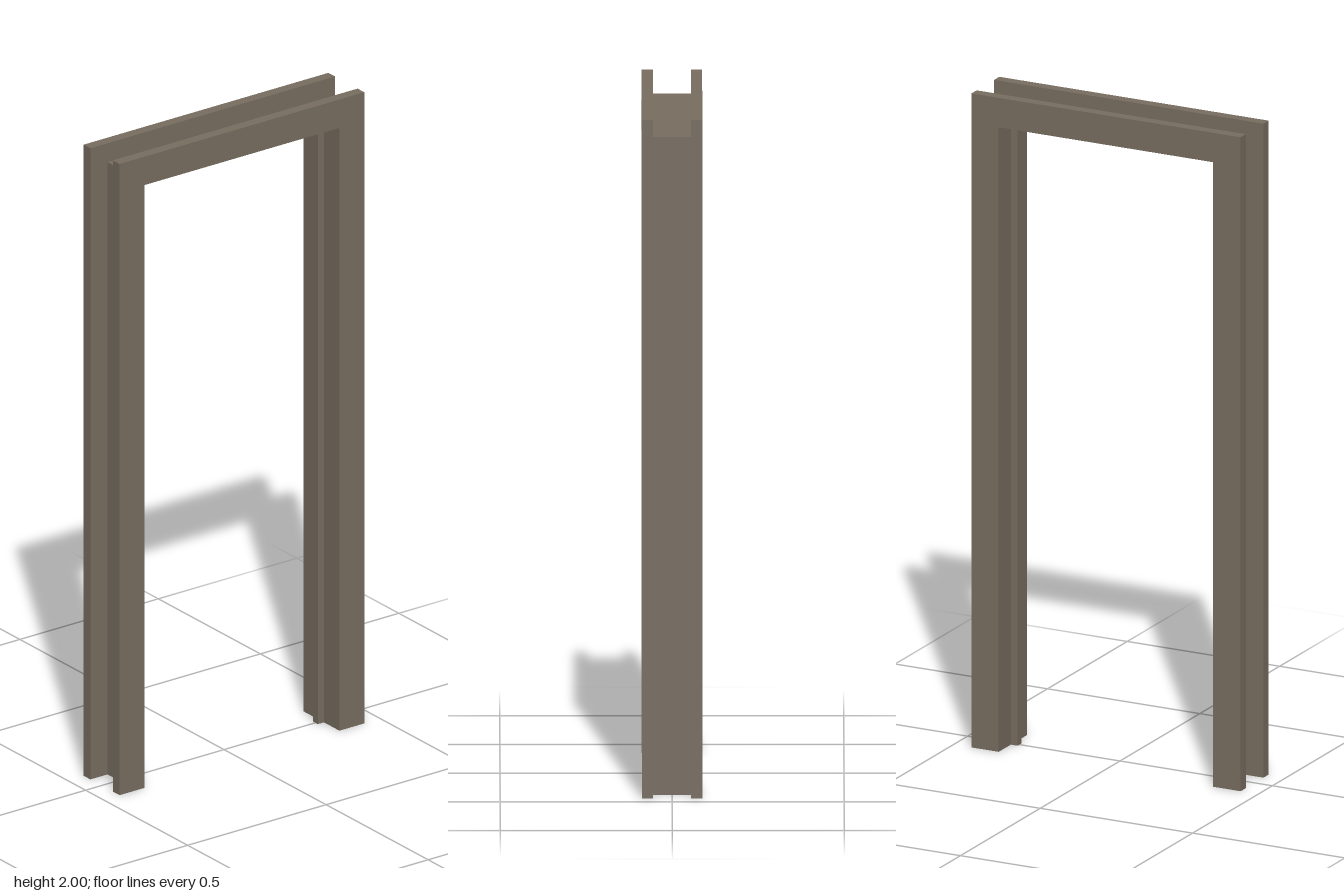
import * as THREE from 'three';

const frameBrown = new THREE.MeshStandardMaterial({ color: 0x776d60 });
frameBrown.name = 'frame brown';

// Upside-down U (two legs and a head) extruded from zBack to zFront
function portal(name, outerX, outerTop, innerX, innerTop, zBack, zFront) {
  const shape = new THREE.Shape([
    [-outerX, 0], [-innerX, 0], [-innerX, innerTop], [innerX, innerTop],
    [innerX, 0], [outerX, 0], [outerX, outerTop], [-outerX, outerTop],
  ].map(([x, y]) => new THREE.Vector2(x, y)));
  const geometry = new THREE.ExtrudeGeometry(shape, { depth: zFront - zBack, bevelEnabled: false });
  geometry.translate(0, 0, zBack);
  const mesh = new THREE.Mesh(geometry, frameBrown);
  mesh.name = name;
  return mesh;
}

export function createModel() {
  const group = new THREE.Group();
  group.name = 'doorFrame';

  const openX = 0.352, openTop = 1.91;  // clear opening inside the jamb
  const wallZ = 0.055, faceZ = 0.088;   // casing inner and outer faces
  const stopZ = 0.012;                  // half width of the door stop

  group.add(
    // Wide trim on both sides of the wall
    portal('frontCasing', 0.442, 2, openX, openTop, wallZ, faceZ),
    portal('backCasing', 0.442, 2, openX, openTop, -faceZ, -wallZ),
    // Recessed lining between the trims
    portal('jamb', 0.38, 1.94, openX, openTop, -wallZ, wallZ),
    // Thin strip the door closes against
    portal('doorStop', openX, openTop, 0.33, 1.888, -stopZ, stopZ),
  );
  return group;
}
